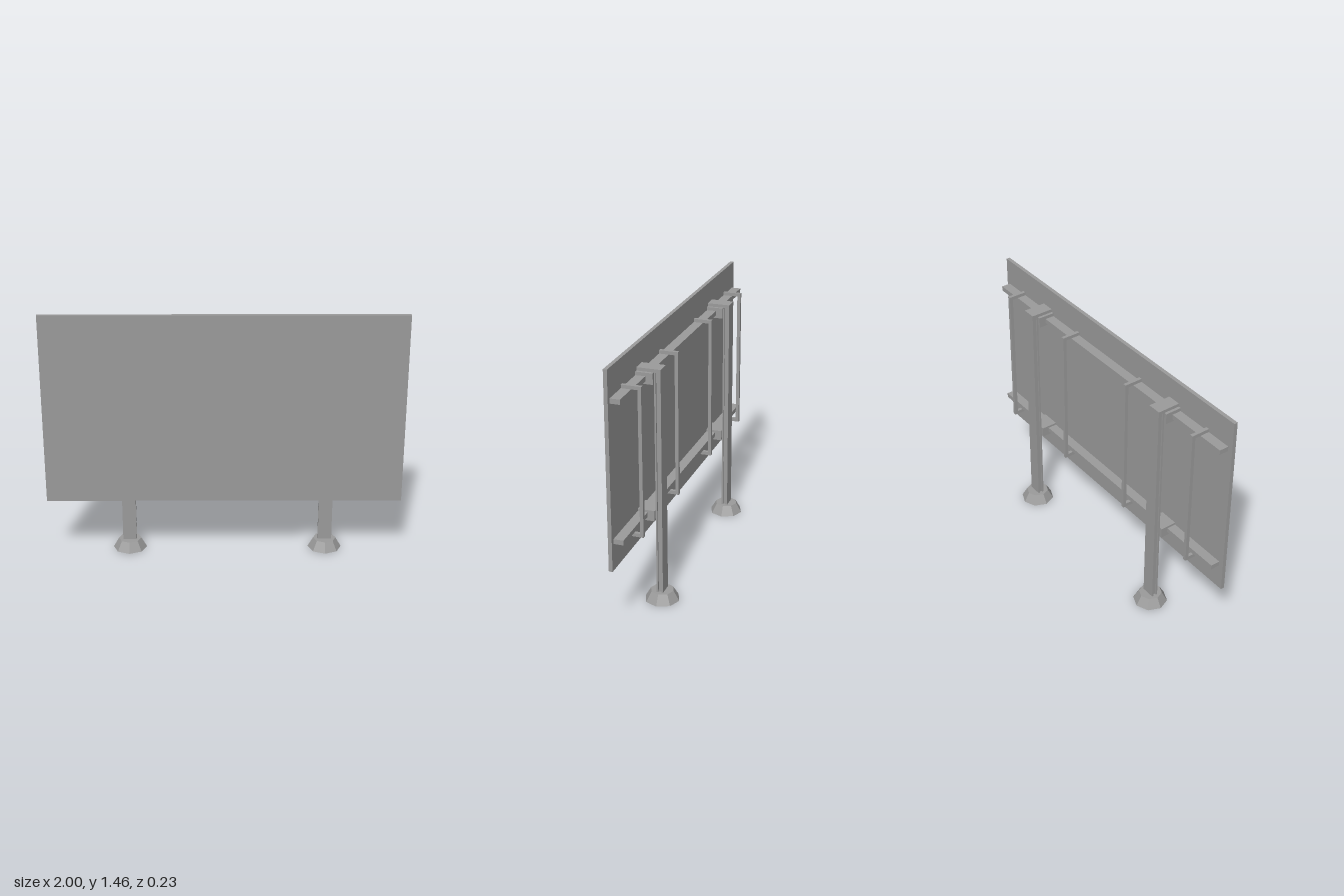
import * as THREE from 'three';

const grey = new THREE.MeshStandardMaterial({ color: 0x9b9b9b, flatShading: true });
const greyThin = new THREE.MeshStandardMaterial({ color: 0x9b9b9b, flatShading: true, side: THREE.DoubleSide });

// Box given by its lower and upper limits on each axis
function box(parent, name, [x0, x1], [y0, y1], [z0, z1]) {
  const mesh = new THREE.Mesh(new THREE.BoxGeometry(x1 - x0, y1 - y0, z1 - z0), grey);
  mesh.position.set((x0 + x1) / 2, (y0 + y1) / 2, (z0 + z1) / 2);
  mesh.name = name;
  parent.add(mesh);
}

const PANEL_BACK = 0.094;
const POST_Z = -0.018;

// Post with grooved sides, a cap reaching to the panel, two clamps and a hollow octagonal foot
function createPost(x) {
  const post = new THREE.Group();
  post.name = 'post';
  post.position.x = x;

  const w = 0.039, d = 0.018, t = 0.009, web = 0.03;
  const half = [[w, -d], [w, -d + t], [web, -d + t], [web, d - t], [w, d - t], [w, d]];
  const outline = [...half, ...half.map(([a, b]) => [-a, b]).reverse()];
  const shape = new THREE.Shape(outline.map(([a, b]) => new THREE.Vector2(a, b)));
  const beam = new THREE.ExtrudeGeometry(shape, { depth: 1.309, bevelEnabled: false });
  beam.rotateX(-Math.PI / 2).translate(0, 0.01, POST_Z);
  const column = new THREE.Mesh(beam, grey);
  column.name = 'column';
  post.add(column);

  box(post, 'cap', [-w, w], [1.319, 1.337], [POST_Z - d, PANEL_BACK]);
  box(post, 'upperClamp', [-0.055, 0.055], [1.258, 1.319], [0, PANEL_BACK]);
  box(post, 'lowerClamp', [-0.055, 0.055], [0.49, 0.55], [0, PANEL_BACK]);

  const foot = new THREE.Mesh(new THREE.CylinderGeometry(0.065, 0.097, 0.056, 8, 1, true), greyThin);
  foot.position.set(0, 0.028, POST_Z);
  foot.name = 'foot';
  const footTop = new THREE.Mesh(new THREE.CircleGeometry(0.065, 8), greyThin);
  footTop.rotation.x = -Math.PI / 2;
  footTop.position.set(0, 0.056, POST_Z);
  footTop.name = 'footTop';
  post.add(foot, footTop);
  return post;
}

// C-shaped brace hooked over the upper rail and under the lower rail
function createBrace(x) {
  const brace = new THREE.Group();
  brace.name = 'brace';
  brace.position.x = x;
  const width = [-0.0095, 0.0095];
  box(brace, 'braceUpright', width, [0.49, 1.319], [-0.012, 0.007]);
  box(brace, 'braceUpperArm', width, [1.3, 1.319], [0.007, PANEL_BACK]);
  box(brace, 'braceLowerArm', width, [0.49, 0.51], [0.007, PANEL_BACK]);
  return brace;
}

export function createModel() {
  const model = new THREE.Group();
  model.name = 'billboard';

  box(model, 'panel', [-1, 1], [0.36, 1.455], [PANEL_BACK, 0.115]);

  // Horizontal rails behind the panel
  box(model, 'upperRail', [-0.97, 0.977], [1.273, 1.3], [0.04, PANEL_BACK]);
  box(model, 'lowerRail', [-0.97, 0.977], [0.51, 0.537], [0.04, PANEL_BACK]);

  for (const x of [-0.547, 0.585]) model.add(createPost(x));
  for (const x of [-0.813, -0.269, 0.29, 0.823]) model.add(createBrace(x));
  return model;
}
